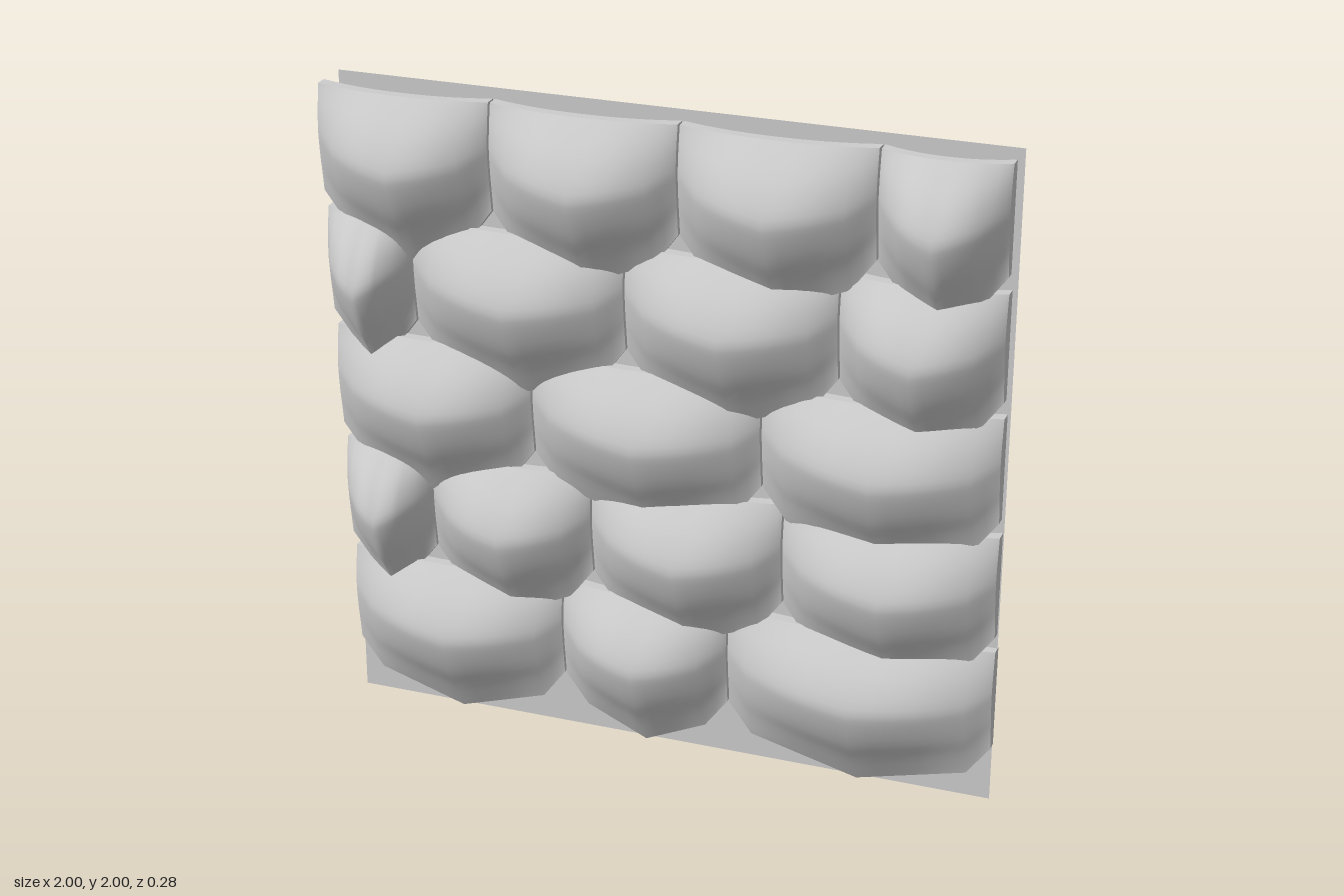
import * as THREE from 'three';

const TILE_HEIGHT = 0.5, ROW_STEP = 0.375, ROW_DEPTH = 0.026, THICKNESS = 0.03, BULGE = 0.145;

// x positions of the joints between tiles, from the bottom row up
const ROWS = [
  [-1, -0.32, 0.2, 1],
  [-1, -0.72, -0.215, 0.37, 1],
  [-1, -0.385, 0.31, 1],
  [-1, -0.735, -0.09, 0.535, 1],
  [-1, -0.48, 0.075, 0.64, 1],
];

// Swelling of a tile from its bottom edge (0) to its top edge (1)
const SWELL = new THREE.SplineCurve([
  [0, 0], [0.18, 0.36], [0.33, 0.7], [0.5, 0.95], [0.62, 1], [0.8, 0.76], [1, 0.29],
].map(([t, f]) => new THREE.Vector2(t, f))).getPoints(18);

// Hollow, bulging tile with straight sides and a blunt pointed lower edge
function tileGeometry(width) {
  const half = width / 2;
  const corner = 1 - 0.07 / half;
  const side = [0.2, 0.4, 0.6, 0.8, 1].map((k) => k * corner)
    .concat([1 - 0.035 / half, 1 - 0.01 / half, 1]);
  const us = [...side.map((u) => -u).reverse(), 0, ...side];
  const lowerEdge = (u) => {
    const a = Math.abs(u);
    return a < corner ? 0.085 * a / corner : 0.085 + 0.095 * (a - corner) / (1 - corner);
  };
  const point = (u, s, front) => {
    const low = lowerEdge(u);
    const arch = 1 - Math.pow(Math.abs(u), 2.2);
    const z = front
      ? THICKNESS + BULGE * s.y * (0.15 + 0.85 * arch)
      : BULGE * s.y * 0.95 * arch;
    return [u * half, low + s.x * (TILE_HEIGHT - low), z];
  };

  const positions = [], index = [];
  const cols = us.length, rows = SWELL.length;
  // Front and back skins
  for (const front of [true, false]) {
    const base = positions.length / 3;
    for (const s of SWELL) for (const u of us) positions.push(...point(u, s, front));
    for (let j = 0; j < rows - 1; j++) {
      for (let i = 0; i < cols - 1; i++) {
        const a = base + j * cols + i, b = a + 1, c = b + cols, d = a + cols;
        if (front) index.push(a, b, c, a, c, d);
        else index.push(a, c, b, a, d, c);
      }
    }
  }
  // Rim joining the two skins, with its own vertices so the edge stays crisp
  const border = [];
  for (let i = 0; i < cols - 1; i++) border.push([us[i], SWELL[0]]);
  for (let j = 0; j < rows - 1; j++) border.push([1, SWELL[j]]);
  for (let i = cols - 1; i > 0; i--) border.push([us[i], SWELL[rows - 1]]);
  for (let j = rows - 1; j > 0; j--) border.push([-1, SWELL[j]]);
  border.forEach(([u, s], k) => {
    const [u2, s2] = border[(k + 1) % border.length];
    const a = positions.length / 3;
    positions.push(...point(u, s, true), ...point(u, s, false),
      ...point(u2, s2, false), ...point(u2, s2, true));
    index.push(a, a + 1, a + 2, a, a + 2, a + 3);
  });

  const geometry = new THREE.BufferGeometry();
  geometry.setAttribute('position', new THREE.Float32BufferAttribute(positions, 3));
  geometry.setIndex(index);
  geometry.computeVertexNormals();
  return geometry;
}

export function createModel() {
  const model = new THREE.Group();
  model.name = 'shingleWall';
  const grey = new THREE.MeshStandardMaterial({ color: 0xcccccc, side: THREE.DoubleSide });
  grey.name = 'light grey';

  // Flat backing sheet
  const backing = new THREE.Mesh(new THREE.PlaneGeometry(2, 2), grey);
  backing.name = 'backingSheet';
  backing.position.set(0, 1, -0.125);
  model.add(backing);

  // Overlapping rows, each a little further forward than the one below
  ROWS.forEach((joints, r) => {
    const row = new THREE.Group();
    row.name = `tileRow${r + 1}`;
    row.position.set(0, r * ROW_STEP, -0.135 + r * ROW_DEPTH);
    for (let i = 0; i < joints.length - 1; i++) {
      const left = joints[i] + (i > 0 ? 0.003 : 0);
      const right = joints[i + 1] - (i < joints.length - 2 ? 0.003 : 0);
      const tile = new THREE.Mesh(tileGeometry(right - left), grey);
      tile.name = 'tile';
      tile.position.x = (left + right) / 2;
      row.add(tile);
    }
    model.add(row);
  });
  return model;
}
